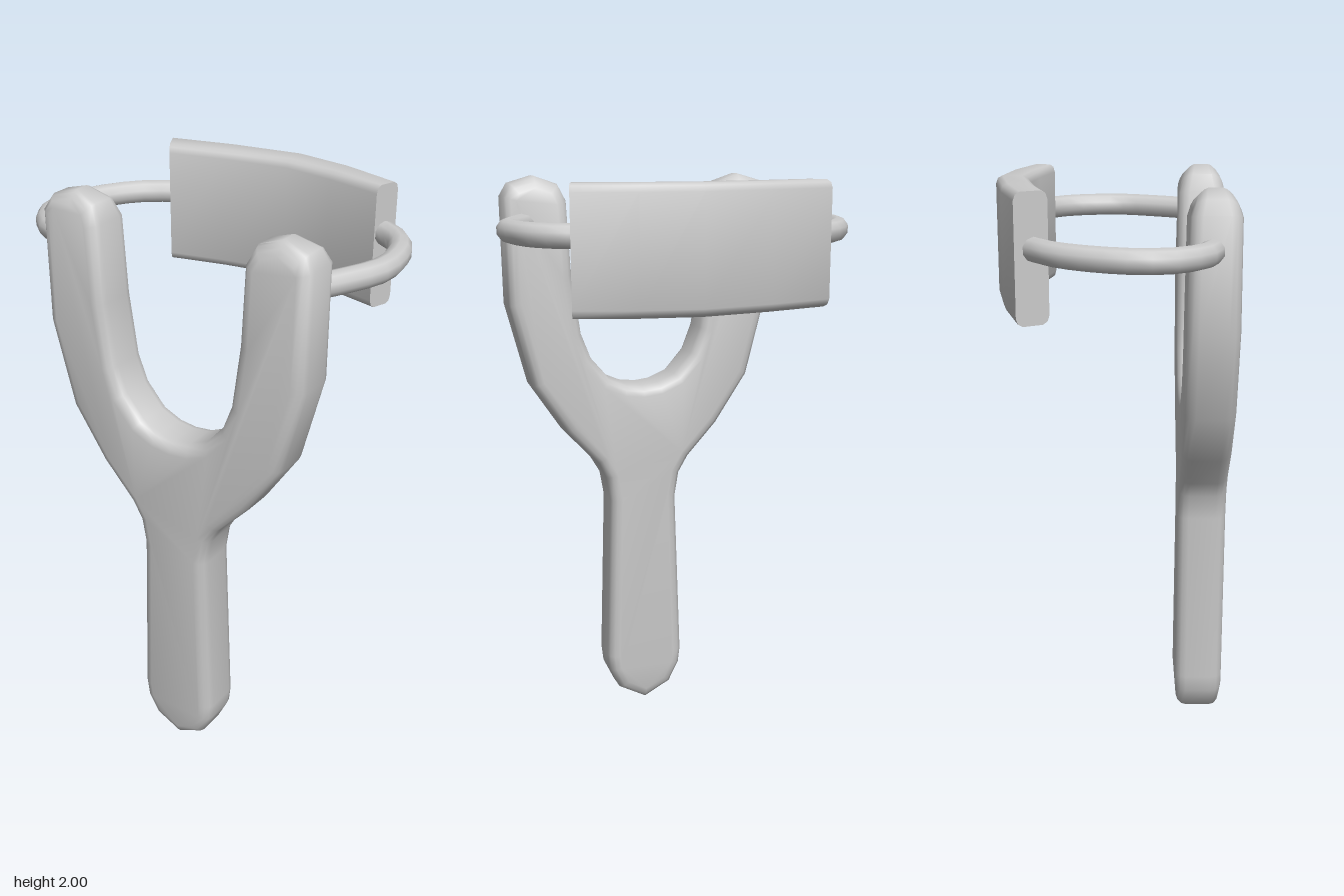
import * as THREE from 'three';
import { toCreasedNormals } from 'three/addons/utils/BufferGeometryUtils.js';

const CX = 0.065; // mirror axis of the forked frame
const CZ = 0.305; // depth centre of the frame

// Half outline of the fork, as offsets from its axis: foot, handle, prong tip, crotch
const HALF = [
  [0, 0.005], [0.1, 0.06], [0.138, 0.14], [0.145, 0.2], [0.125, 0.82], [0.14, 0.91], [0.175, 0.97],
  [0.285, 1.09], [0.405, 1.27], [0.48, 1.56], [0.485, 1.93], [0.46, 1.975], [0.375, 2.0], [0.295, 1.972],
  [0.268, 1.915], [0.255, 1.66], [0.225, 1.45], [0.19, 1.36], [0.125, 1.285], [0.06, 1.257], [0, 1.25],
];

function forkGeometry() {
  const mirrored = HALF.slice(1, -1).reverse().map(([x, y]) => [-x, y]);
  const shape = new THREE.Shape([...HALF, ...mirrored].map(([x, y]) => new THREE.Vector2(x, y)));
  const bevel = 0.038;
  const geo = new THREE.ExtrudeGeometry(shape, {
    depth: 0.17 - 2 * bevel, bevelEnabled: true, bevelSize: bevel, bevelOffset: -bevel,
    bevelThickness: bevel, bevelSegments: 3,
  });
  geo.translate(0, 0, bevel - 0.085);
  // Thin the prong tips into domes, and the foot slightly
  const p = geo.attributes.position;
  for (let i = 0; i < p.count; i++) {
    const y = p.getY(i);
    const tip = Math.max(0, (y - 1.88) / 0.12);
    const foot = Math.max(0, (0.15 - y) / 0.15);
    p.setZ(i, p.getZ(i) * (1 - 0.5 * tip * tip) * (1 - 0.15 * foot));
  }
  geo.translate(CX, 0, CZ);
  return toCreasedNormals(geo, 0.9);
}

// Loft closed rings of points (counterclockwise about the travel direction), capping both ends
function loft(rings) {
  const n = rings[0].length, index = [];
  rings.slice(1).forEach((_, i) => {
    for (let j = 0; j < n; j++) {
      const k = (j + 1) % n, a = i * n + j, b = i * n + k, c = b + n, d = a + n;
      index.push(a, b, d, b, c, d);
    }
  });
  const end = (rings.length - 1) * n;
  for (let j = 1; j < n - 1; j++) index.push(0, j + 1, j, end, end + j, end + j + 1);
  const geo = new THREE.BufferGeometry();
  geo.setAttribute('position', new THREE.Float32BufferAttribute(rings.flat(2), 3));
  geo.setIndex(index);
  return toCreasedNormals(geo, 0.9);
}

// Pouch stations: inner x, z and outer x, z
const POUCH = [
  [-0.355, -0.205, -0.41, -0.305], [-0.17, -0.25, -0.185, -0.362], [0.06, -0.29, 0.06, -0.4],
  [0.235, -0.266, 0.26, -0.371], [0.43, -0.224, 0.46, -0.307],
];
// Rounded section: u from inner to outer side, y up
const SECTION = [
  [0, 1.615], [0.06, 1.597], [0.2, 1.588], [0.8, 1.588], [0.94, 1.597], [1, 1.615],
  [1, 1.972], [0.94, 1.99], [0.8, 1.998], [0.2, 1.998], [0.06, 1.99], [0, 1.972],
];

function pouchGeometry() {
  return loft(POUCH.map(([xi, zi, xo, zo]) =>
    SECTION.map(([u, y]) => [xi + (xo - xi) * u, y, zi + (zo - zi) * u])));
}

function cordGeometry(points, y) {
  const curve = new THREE.CatmullRomCurve3(points.map(([x, z]) => new THREE.Vector3(x, y, z)));
  return new THREE.TubeGeometry(curve, 12, 0.039, 10);
}

export function createModel() {
  const group = new THREE.Group();
  const material = new THREE.MeshStandardMaterial({ color: 0xcccccc });
  const add = (name, geometry) => {
    const mesh = new THREE.Mesh(geometry, material);
    mesh.name = name;
    group.add(mesh);
  };

  add('forkedFrame', forkGeometry());
  add('pouch', pouchGeometry());

  // Cords bow outward from the prongs to the ends of the pouch
  add('rightCord', cordGeometry([
    [-0.36, 0.305], [-0.49, 0.265], [-0.575, 0.17], [-0.588, 0.06], [-0.545, -0.07], [-0.465, -0.185], [-0.35, -0.265],
  ], 1.823));
  add('leftCord', cordGeometry([
    [0.46, 0.29], [0.53, 0.16], [0.583, 0.03], [0.583, -0.06], [0.55, -0.17], [0.495, -0.235], [0.4, -0.285],
  ], 1.838));

  return group;
}
